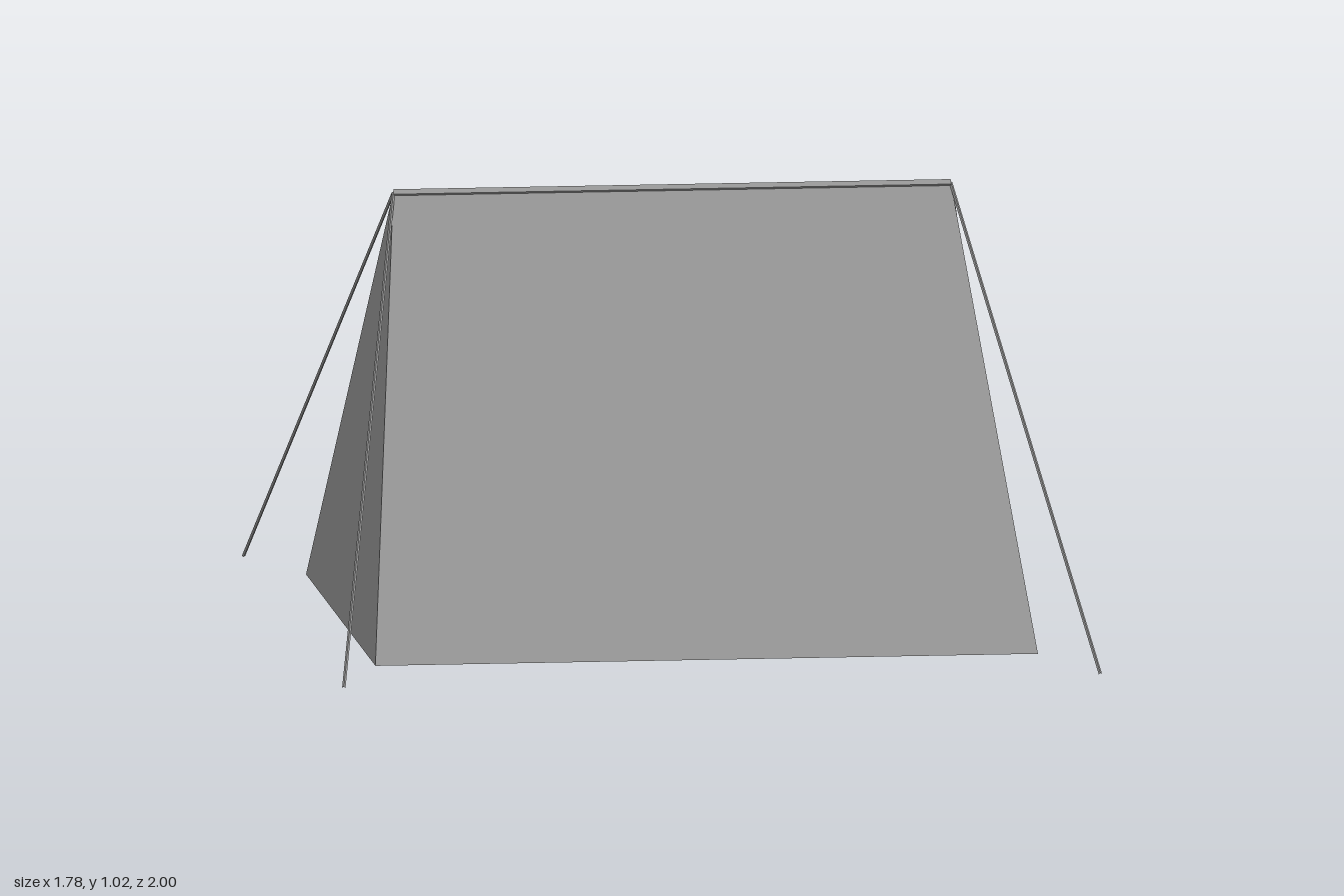
import * as THREE from 'three';

const material = new THREE.MeshStandardMaterial({ color: 0x999999, flatShading: true });

// Flat panel from corners listed counter-clockwise as seen from outside
function panel(name, ...corners) {
  const geometry = new THREE.BufferGeometry().setFromPoints(corners.map((c) => new THREE.Vector3(...c)));
  geometry.setIndex(corners.length === 4 ? [0, 1, 2, 0, 2, 3] : [0, 1, 2]);
  const flat = geometry.toNonIndexed();
  flat.computeVertexNormals();
  const mesh = new THREE.Mesh(flat, material);
  mesh.name = name;
  return mesh;
}

// Straight thin four-sided rod between two points
function rod(name, from, to, radius) {
  const path = new THREE.LineCurve3(new THREE.Vector3(...from), new THREE.Vector3(...to));
  const mesh = new THREE.Mesh(new THREE.TubeGeometry(path, 1, radius, 4), material);
  mesh.name = name;
  return mesh;
}

export function createModel() {
  const group = new THREE.Group();
  group.name = 'tent';
  const baseX = 0.775, baseZ = 0.69, baseY = 0.005;
  const ridgeX = 0.652, ridgeY = 1.01;

  // Sloping roof sheets and end walls, each built once per side
  for (const s of [1, -1]) {
    group.add(panel(s > 0 ? 'frontRoof' : 'backRoof',
      [-s * baseX, baseY, s * baseZ], [s * baseX, baseY, s * baseZ],
      [s * ridgeX, ridgeY, 0], [-s * ridgeX, ridgeY, 0]));
    group.add(panel(s > 0 ? 'leftEndWall' : 'rightEndWall',
      [s * baseX, baseY, s * baseZ], [s * baseX, baseY, -s * baseZ], [s * ridgeX, ridgeY, 0]));
  }

  // Groundsheet
  group.add(panel('groundsheet',
    [-baseX, baseY, -baseZ], [baseX, baseY, -baseZ], [baseX, baseY, baseZ], [-baseX, baseY, baseZ]));

  // Ridge pole, set edge-up
  group.add(rod('ridgePole', [-ridgeX, 1.006, 0], [ridgeX, 1.006, 0], 0.01));

  // Four guy ropes from the ridge ends to the ground
  for (const x of [1, -1]) {
    for (const z of [1, -1]) {
      group.add(rod('guyRope', [x * ridgeX, 1.008, 0], [x * 0.885, 0.003, z * 0.997], 0.004));
    }
  }
  return group;
}
